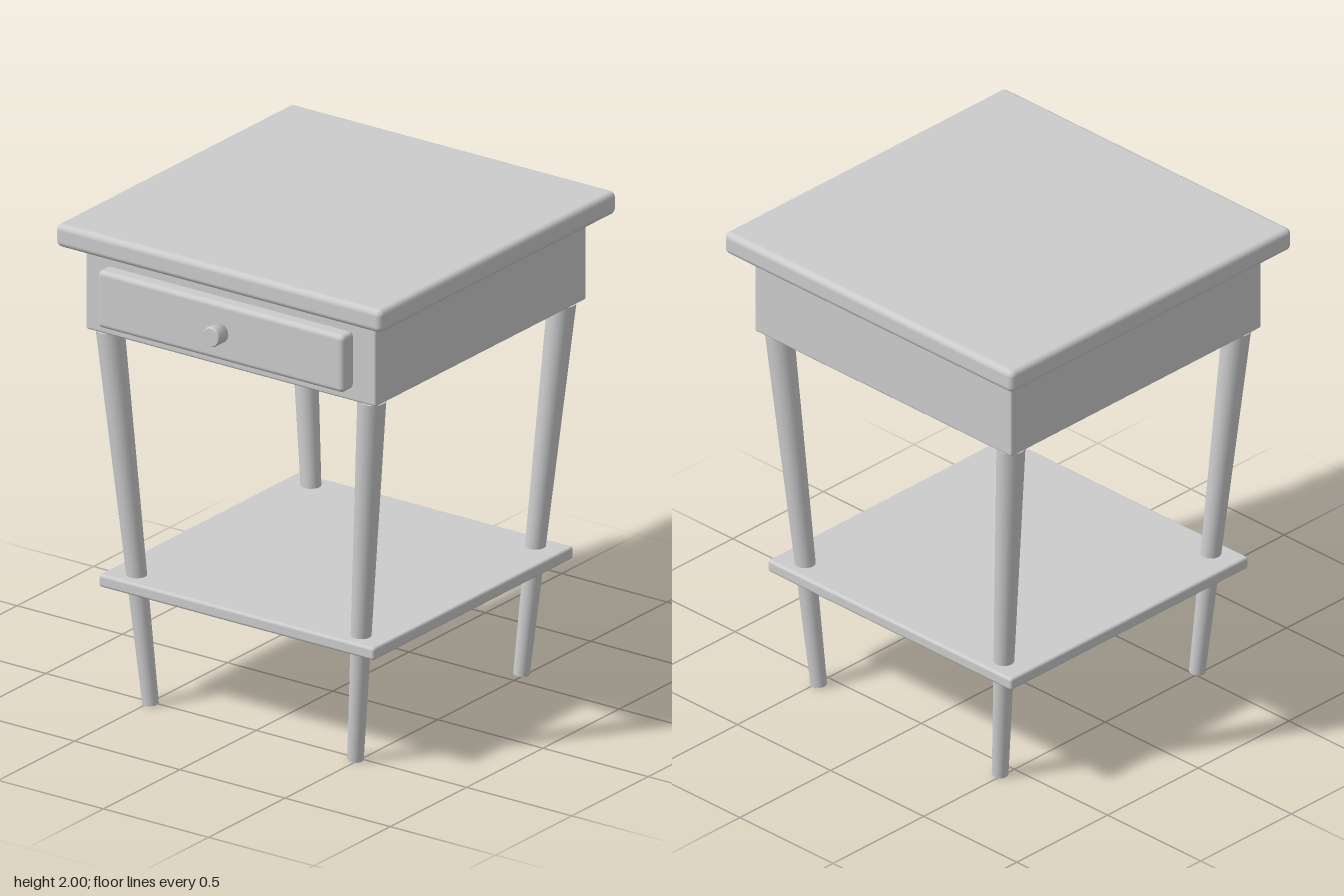
import * as THREE from 'three';
import { RoundedBoxGeometry } from 'three/addons/geometries/RoundedBoxGeometry.js';

export function createModel() {
  const group = new THREE.Group();
  group.name = 'sideTable';
  const grey = new THREE.MeshStandardMaterial({ color: 0xcccccc });
  grey.name = 'plain grey';
  const midZ = -0.022; // centre of the table body, set back for the knob

  const add = (name, geometry) => {
    const mesh = new THREE.Mesh(geometry, grey);
    mesh.name = name;
    group.add(mesh);
    return mesh;
  };

  // Box with softened edges, given by its width, y range and z range
  const slab = (name, width, y0, y1, z0, z1, radius) => {
    const mesh = add(name, new RoundedBoxGeometry(width, y1 - y0, z1 - z0, 4, radius));
    mesh.position.set(0, (y0 + y1) / 2, (z0 + z1) / 2);
  };
  slab('tableTop', 1.55, 1.905, 2, midZ - 0.775, midZ + 0.775, 0.025);
  slab('cabinet', 1.38, 1.557, 1.905, midZ - 0.69, midZ + 0.69, 0.01);
  slab('drawerFront', 1.17, 1.61, 1.847, 0.66, 0.738, 0.02);
  slab('shelf', 1.31, 0.485, 0.537, midZ - 0.655, midZ + 0.655, 0.012);

  // Drawer knob, a short pin with a slightly eased rim
  const knobProfile = [[0, 0], [0.04, 0], [0.04, 0.062], [0.04, 0.062], [0.036, 0.068], [0.036, 0.068], [0, 0.068]]
    .map(([r, y]) => new THREE.Vector2(r, y));
  const knob = add('knob', new THREE.LatheGeometry(knobProfile, 32));
  knob.rotation.x = Math.PI / 2;
  knob.position.set(0, 1.727, 0.732);

  // Four tapered legs leaning inwards towards the floor
  const up = new THREE.Vector3(0, 1, 0);
  for (const sx of [-1, 1]) {
    for (const sz of [-1, 1]) {
      const top = new THREE.Vector3(sx * 0.622, 1.552, midZ + sz * 0.622);
      const foot = new THREE.Vector3(sx * 0.487, 0.004, midZ + sz * 0.543);
      const axis = top.clone().sub(foot);
      const name = (sz > 0 ? 'front' : 'back') + (sx > 0 ? 'Left' : 'Right') + 'Leg';
      const leg = add(name, new THREE.CylinderGeometry(0.056, 0.032, axis.length(), 32));
      leg.position.copy(top).add(foot).multiplyScalar(0.5);
      leg.quaternion.setFromUnitVectors(up, axis.normalize());
    }
  }
  return group;
}
